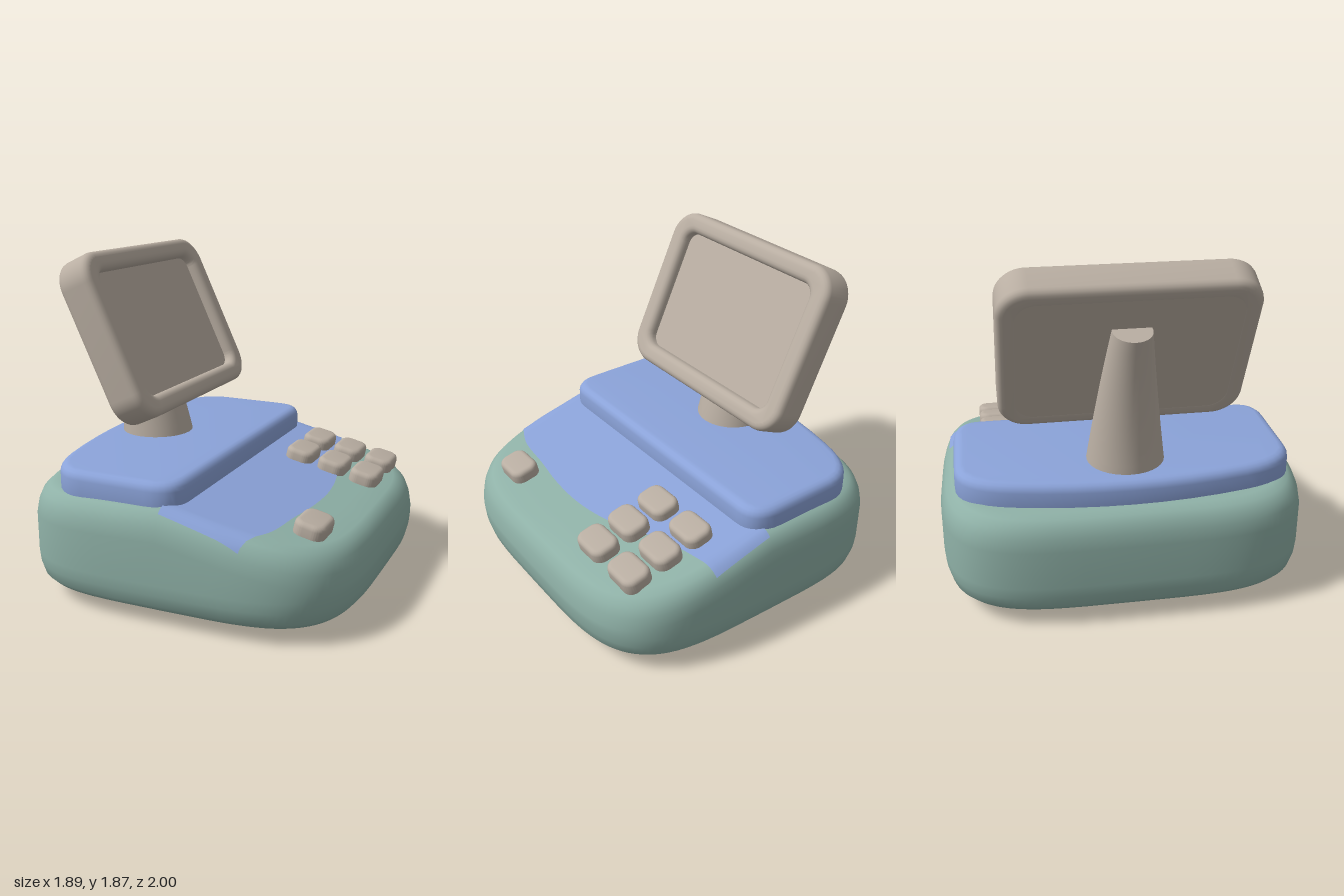
import * as THREE from 'three';
import { toCreasedNormals } from 'three/addons/utils/BufferGeometryUtils.js';

const paint = (name, color) => {
  const m = new THREE.MeshStandardMaterial({ color });
  m.name = name;
  return m;
};

// Body footprint: a superellipse slightly wider in z towards -x
const RX = 0.945, RZ = 0.992, POW = 4.2, TAPER = 0.035;
function footprint(a, s) {
  const p = (v) => Math.sign(v) * Math.abs(v) ** (2 / POW);
  const x = RX * s * p(Math.cos(a));
  return [x, -RZ * s * (1 - TAPER * x) * p(Math.sin(a))];
}

// Top surface: nearly level behind, sloping down to the front edge
const topY = (x) => (x < 0 ? 0.652 + 0.018 * x : 0.652 - 0.215 * x);

// Rounded rim of the body: [scale, drop below the top surface]
const RIM = [[1, 0.17], [0.988, 0.1], [0.968, 0.05], [0.935, 0.016], [0.89, 0]];
function rimDrop(s) {
  for (let i = 0; i < RIM.length - 1; i++) {
    const [s0, d0] = RIM[i], [s1, d1] = RIM[i + 1];
    if (s >= s1) return d1 + ((d0 - d1) * (Math.min(s, s0) - s1)) / (s0 - s1);
  }
  return 0;
}

// Skin a stack of footprint rings; each ring is [scale, height function of x]
function loft(rings, n = 96) {
  const pos = [], idx = [];
  rings.forEach(([s, y], i) => {
    for (let j = 0; j < n; j++) {
      const [x, z] = footprint((j / n) * Math.PI * 2, s);
      pos.push(x, y(x), z);
      if (i === rings.length - 1) continue;
      const a = i * n + j, b = i * n + ((j + 1) % n);
      idx.push(a, b, b + n, a, b + n, a + n);
    }
  });
  const g = new THREE.BufferGeometry();
  g.setAttribute('position', new THREE.Float32BufferAttribute(pos, 3));
  g.setIndex(idx);
  g.computeVertexNormals();
  return g;
}

// Rounded rectangle centred on the origin
function roundRect(w, h, r, Type = THREE.Shape) {
  const s = new Type(), x = w / 2, y = h / 2, q = Math.PI / 2;
  s.absarc(x - r, y - r, r, 0, q);
  s.absarc(-x + r, y - r, r, q, 2 * q);
  s.absarc(-x + r, -y + r, r, 2 * q, 3 * q);
  s.absarc(x - r, -y + r, r, 3 * q, 4 * q);
  s.closePath();
  return s;
}

// Extrude with a rounded edge kept inside the outline, from z = 0 to z = depth
function slab(shape, depth, bevel) {
  const g = new THREE.ExtrudeGeometry(shape, {
    depth: depth - 2 * bevel, bevelEnabled: bevel > 0, bevelSize: bevel,
    bevelThickness: bevel, bevelOffset: -bevel, bevelSegments: 4, curveSegments: 8,
  });
  g.translate(0, 0, bevel);
  return toCreasedNormals(g, 0.7);
}

export function createModel() {
  const model = new THREE.Group();
  const green = paint('sage green', 0x8fb1a7);
  const blue = paint('periwinkle blue', 0x8ba3d9);
  const beige = paint('warm beige', 0xb9aea2);
  const dark = paint('dark base', 0x323837);
  const footMat = paint('dark green foot', 0x42544f);
  const add = (name, geo, mat, parent = model) => {
    const m = new THREE.Mesh(geo, mat);
    m.name = name;
    parent.add(m);
    return m;
  };

  // Body shell and its dark underside
  const level = (y) => () => y;
  add('body', loft([
    [0.915, level(0.08)], [0.95, level(0.092)], [0.978, level(0.125)], [0.995, level(0.19)],
    [1, level(0.25)],
    ...RIM.map(([s, d]) => [s, (x) => topY(x) - d]),
    ...[0.75, 0.55, 0.3, 0.001].map((s) => [s, topY]),
  ]), green);
  add('underside', loft([[0.001, level(0.08)], [0.915, level(0.08)]]), dark);

  // Blue painted area on the slope, with a curved front border
  const border = new THREE.SplineCurve([
    [0.36, -0.945], [0.42, -0.6], [0.54, -0.27], [0.59, 0], [0.59, 0.25],
    [0.56, 0.5], [0.53, 0.75], [0.44, 0.945],
  ].map(([x, z]) => new THREE.Vector2(x, z)));
  const panel = new THREE.PlaneGeometry(1, 1, 12, 64).rotateX(-Math.PI / 2);
  const p = panel.attributes.position;
  for (let i = 0; i < p.count; i++) {
    const edge = border.getPoint(p.getZ(i) + 0.5);
    const x = edge.x * (p.getX(i) + 0.5), z = edge.y;
    const s = (Math.abs(x / RX) ** POW + Math.abs(z / (RZ * (1 - TAPER * x))) ** POW) ** (1 / POW);
    p.setXYZ(i, x, topY(x) - rimDrop(s) + 0.007, z);
  }
  panel.computeVertexNormals();
  add('slopePanel', panel, blue);

  // Raised platform at the back
  const deck = new THREE.Shape();
  deck.moveTo(0.08, -0.76);
  deck.lineTo(0.08, 0.76);
  deck.quadraticCurveTo(0.08, 0.915, -0.1, 0.915);
  deck.lineTo(-0.48, 0.915);
  deck.quadraticCurveTo(-0.69, 0.915, -0.75, 0.62);
  deck.quadraticCurveTo(-0.88, 0, -0.75, -0.62);
  deck.quadraticCurveTo(-0.69, -0.915, -0.48, -0.915);
  deck.lineTo(-0.1, -0.915);
  deck.quadraticCurveTo(0.08, -0.915, 0.08, -0.76);
  add('platform', slab(deck, 0.19, 0.05).rotateX(-Math.PI / 2).translate(0, 0.578, 0), blue);

  // Leaning, tapered neck
  const neck = new THREE.CylinderGeometry(1, 1, 1, 32, 12);
  const n = neck.attributes.position;
  for (let i = 0; i < n.count; i++) {
    const t = n.getY(i) + 0.5;
    const r = 0.212 - 0.11 * t, cx = -0.522 - 0.09 * t - 0.1 * t * t;
    const x = n.getX(i) * r;
    n.setXYZ(i, cx + x, 0.75 + 0.8 * t + 0.25 * t * x, n.getZ(i) * r);
  }
  neck.computeVertexNormals();
  add('neck', toCreasedNormals(neck, 0.8), beige);

  // Tilted display: rounded frame around a recessed screen
  const display = new THREE.Group();
  display.name = 'display';
  display.position.set(-0.505, 1.4, -0.005);
  display.rotation.z = THREE.MathUtils.degToRad(25);
  model.add(display);
  const outline = roundRect(1.32, 0.96, 0.16);
  outline.holes.push(roundRect(1.07, 0.73, 0.07, THREE.Path));
  const turn = (g) => g.rotateY(Math.PI / 2);
  add('displayFrame', turn(slab(outline, 0.21, 0.04).translate(0, 0, -0.105)), beige, display);
  add('screen', turn(slab(roundRect(1.18, 0.84, 0.11), 0.148, 0).translate(0, 0, -0.104)), beige, display);

  // Keypad keys and the single key, following the slope
  const key = slab(roundRect(0.172, 0.232, 0.06), 0.12, 0.028).rotateX(-Math.PI / 2);
  const spots = [[0.672, 0.545]];
  for (const x of [0.28, 0.482, 0.682]) for (const z of [-0.64, -0.347]) spots.push([x, z]);
  for (const [x, z] of spots) {
    const k = add('key', key, beige);
    k.position.set(x, topY(x) - 0.047, z);
    k.rotation.z = -0.22;
  }

  // Four small feet
  const foot = new THREE.CylinderGeometry(0.1, 0.066, 0.09, 8).toNonIndexed();
  foot.computeVertexNormals();
  for (const x of [-0.55, 0.55]) for (const z of [-0.605, 0.605])
    add('foot', foot, footMat).position.set(x, 0.045, z);

  return model;
}
